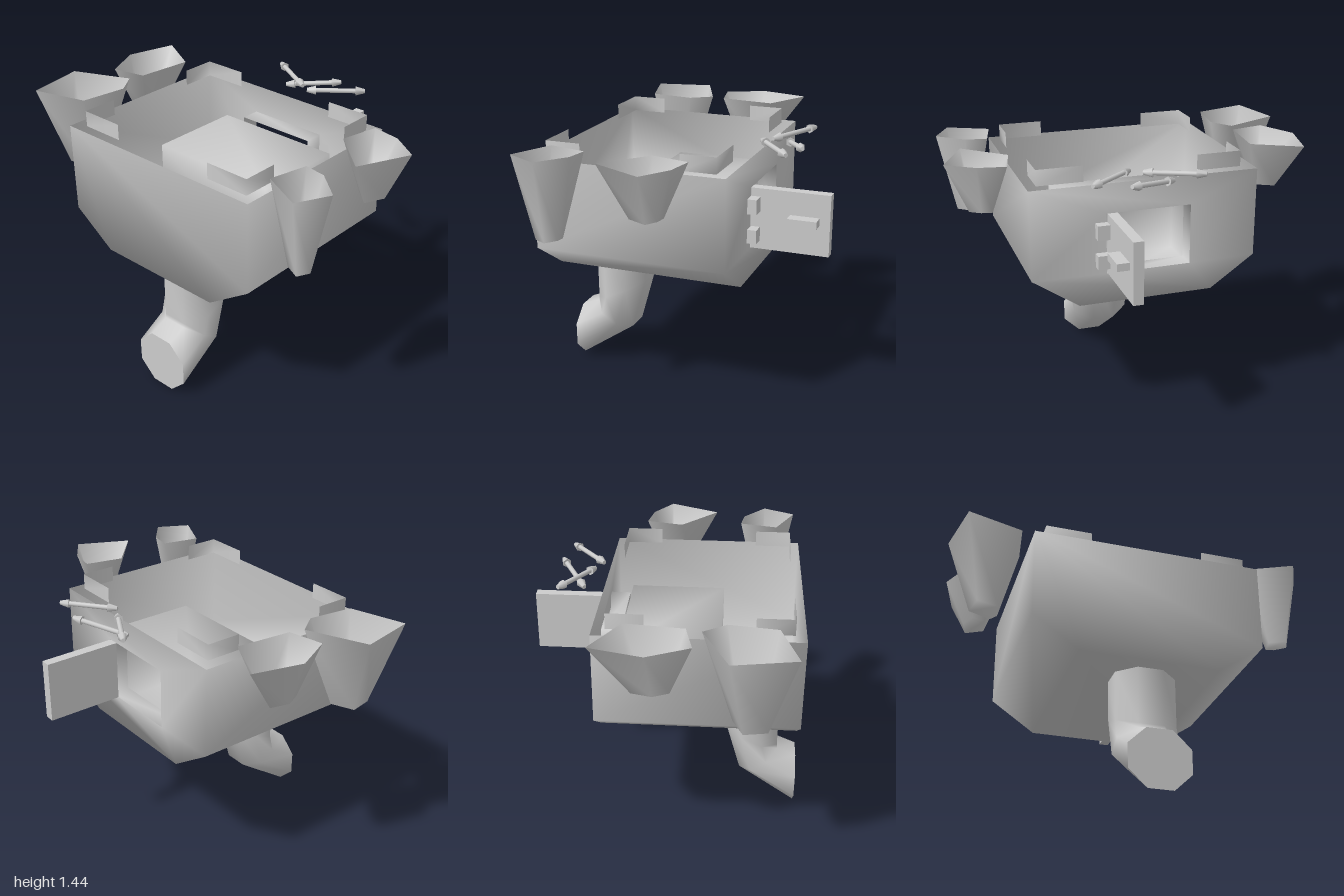
import * as THREE from 'three';
import { mergeGeometries, mergeVertices } from 'three/addons/utils/BufferGeometryUtils.js';

const grey = new THREE.MeshStandardMaterial({ color: 0xcccccc });
const thin = new THREE.MeshStandardMaterial({ color: 0xcccccc, side: THREE.DoubleSide });

// Skin between rings of [x, y, z] points; optional cap on the last ring
function loft(rings, { closed = true, cap = false } = {}) {
  const n = rings[0].length, index = [];
  for (let i = 0; i < rings.length - 1; i++) {
    for (let j = 0; j < (closed ? n : n - 1); j++) {
      const a = i * n + j, b = i * n + (j + 1) % n;
      index.push(a, b, a + n, b, b + n, a + n);
    }
  }
  const last = (rings.length - 1) * n;
  if (cap) for (let j = 1; j < n - 1; j++) index.push(last, last + j, last + j + 1);
  const g = new THREE.BufferGeometry();
  g.setAttribute('position', new THREE.Float32BufferAttribute(rings.flat(2), 3));
  g.setIndex(index);
  g.computeVertexNormals();
  return g;
}

// Flat wall at depth z facing -z, with a rectangular hole
function backWall(profile, hole, z) {
  const shape = new THREE.Shape(profile.map(p => new THREE.Vector2(...p)));
  shape.holes.push(new THREE.Path(hole.map(p => new THREE.Vector2(...p))));
  const g = new THREE.ShapeGeometry(shape).translate(0, 0, z);
  g.setIndex(Array.from(g.index.array).reverse());
  return g;
}

// Join pieces with shared, smooth normals
function weld(...parts) {
  parts.forEach(p => { p.deleteAttribute('normal'); p.deleteAttribute('uv'); });
  const g = mergeVertices(mergeGeometries(parts), 1e-4);
  g.computeVertexNormals();
  return g;
}

const rect = (x0, x1, y0, y1) => [[x0, y1], [x0, y0], [x1, y0], [x1, y1]];
const atZ = (profile, z) => profile.map(([x, y]) => [x, y, z]);

export function createModel() {
  const model = new THREE.Group();
  const add = (name, geometry, material = grey, parent = model) => {
    const m = new THREE.Mesh(geometry, material);
    m.name = name;
    parent.add(m);
    return m;
  };
  const block = (name, x0, x1, y0, y1, z0, z1, parent) =>
    add(name, new THREE.BoxGeometry(x1 - x0, y1 - y0, z1 - z0), grey, parent)
      .position.set((x0 + x1) / 2, (y0 + y1) / 2, (z0 + z1) / 2);

  // Open tub with sloping lower sides and a doorway in the back
  const tub = [[-0.605, 1.345], [-0.605, 0.86], [-0.36, 0.69], [0.375, 0.69], [0.625, 0.86], [0.625, 1.345]];
  const doorway = rect(-0.235, 0.225, 0.855, 1.185);
  add('tub', weld(
    loft([atZ(tub, -0.325), atZ(tub, 0.715)], { closed: false, cap: true }),
    backWall(tub, doorway, -0.325)), thin);

  // Inner chamber on the tub floor, joined to the doorway by a short passage
  const chamber = rect(-0.365, 0.375, 0.695, 1.16);
  add('chamber', weld(
    loft([atZ(chamber, -0.22), atZ(chamber, 0.3)], { cap: true }),
    backWall(chamber, rect(-0.235, 0.225, 0.855, 1.15), -0.22)), thin);
  add('passage', loft([atZ(doorway, -0.325), atZ(doorway, -0.22)]), thin);

  // Raised tabs on the four rim corners, each an L of two thin strips
  for (const [x, dx] of [[-0.535, 0.245], [0.57, -0.245]]) {
    for (const [z, dz] of [[-0.26, 0.19], [0.66, -0.19]]) {
      const strip = y => [[x + dx, y, z], [x, y, z], [x, y, z + dz]];
      add('cornerTab', loft([strip(1.345), strip(1.43)], { closed: false }), thin);
    }
  }

  // Bent drain pipe: each ring spans a front and a back point [y, z]
  const bends = [
    [[0.69, 0.635], [0.69, 0.338]],
    [[0.38, 0.635], [0.52, 0.338]],
    [[0.355, 0.637], [0.22, 0.425]],
    [[0.31, 0.745], [0, 0.745]],
  ];
  const pipe = bends.map(([f, b]) => Array.from({ length: 8 }, (_, k) => {
    const a = (k + 0.5) * Math.PI / 4, r = 1 / Math.cos(Math.PI / 8);
    const s = Math.sin(a) * r / 2;
    return [0.032 + 0.1625 * Math.cos(a) * r,
      (f[0] + b[0]) / 2 + s * (f[0] - b[0]), (f[1] + b[1]) / 2 + s * (f[1] - b[1])];
  }));
  add('drainPipe', loft(pipe), thin);
  add('drainPipeEnd', loft([pipe[3], pipe[3]], { cap: true }));

  // Four irregular five-sided pouches: rim outline [x, z], base centre, base height
  const pouches = [
    [[[-0.885, -0.3], [-0.634, -0.163], [-0.666, 0.14], [-0.853, 0.18], [-0.955, -0.03]], [-0.78, 0.01], 1.16],
    [[[-1, 0.35], [-0.69, 0.217], [-0.61, 0.334], [-0.645, 0.58], [-0.94, 0.665]], [-0.8, 0.47], 0.99],
    [[[0.69, -0.163], [0.84, -0.136], [0.99, -0.035], [0.863, 0.238], [0.644, 0.04]], [0.8, 0], 1.16],
    [[[0.69, 0.382], [0.805, 0.4], [0.95, 0.52], [0.863, 0.69], [0.644, 0.585]], [0.8, 0.55], 0.99],
  ];
  for (const [rim, [cx, cz], y] of pouches) {
    const top = rim.map(([x, z]) => [x, 1.43, z]);
    const base = rim.map(([x, z]) => [cx + (x - cx) * 0.38, y, cz + (z - cz) * 0.38]);
    add('pouch', loft([top, base], { cap: true }), thin);
  }

  // Door standing open, with hinges and handle
  const door = new THREE.Group();
  door.name = 'door';
  model.add(door);
  block('doorPanel', 0.165, 0.22, 0.855, 1.185, -0.745, -0.325, door);
  block('hinge', 0.22, 0.285, 1.06, 1.14, -0.375, -0.325, door);
  block('hinge', 0.22, 0.285, 0.9, 0.975, -0.375, -0.325, door);
  block('handle', 0.22, 0.285, 1.02, 1.06, -0.69, -0.535, door);

  // Three floating rods with a tapered head at each end
  const rods = [
    [[-0.23, 1.415, -0.54], [0.05, 1.405, -0.385]],
    [[-0.1, 1.36, -0.425], [0.17, 1.4, -0.575]],
    [[0.11, 1.41, -0.345], [0.355, 1.41, -0.54]],
  ];
  for (const [p, q] of rods) {
    const a = new THREE.Vector3(...p), b = new THREE.Vector3(...q);
    const length = a.distanceTo(b);
    const rod = new THREE.Group();
    rod.name = 'rod';
    rod.position.copy(a).lerp(b, 0.5);
    rod.quaternion.setFromUnitVectors(new THREE.Vector3(0, 1, 0), b.clone().sub(a).normalize());
    model.add(rod);
    add('rodShaft', new THREE.CylinderGeometry(0.013, 0.013, length - 0.08, 8), grey, rod);
    for (const s of [1, -1]) {
      const head = add('rodHead', new THREE.CylinderGeometry(0.012, 0.025, 0.05, 6), grey, rod);
      head.position.y = s * (length / 2 - 0.025);
      if (s < 0) head.rotation.x = Math.PI;
    }
  }
  return model;
}
